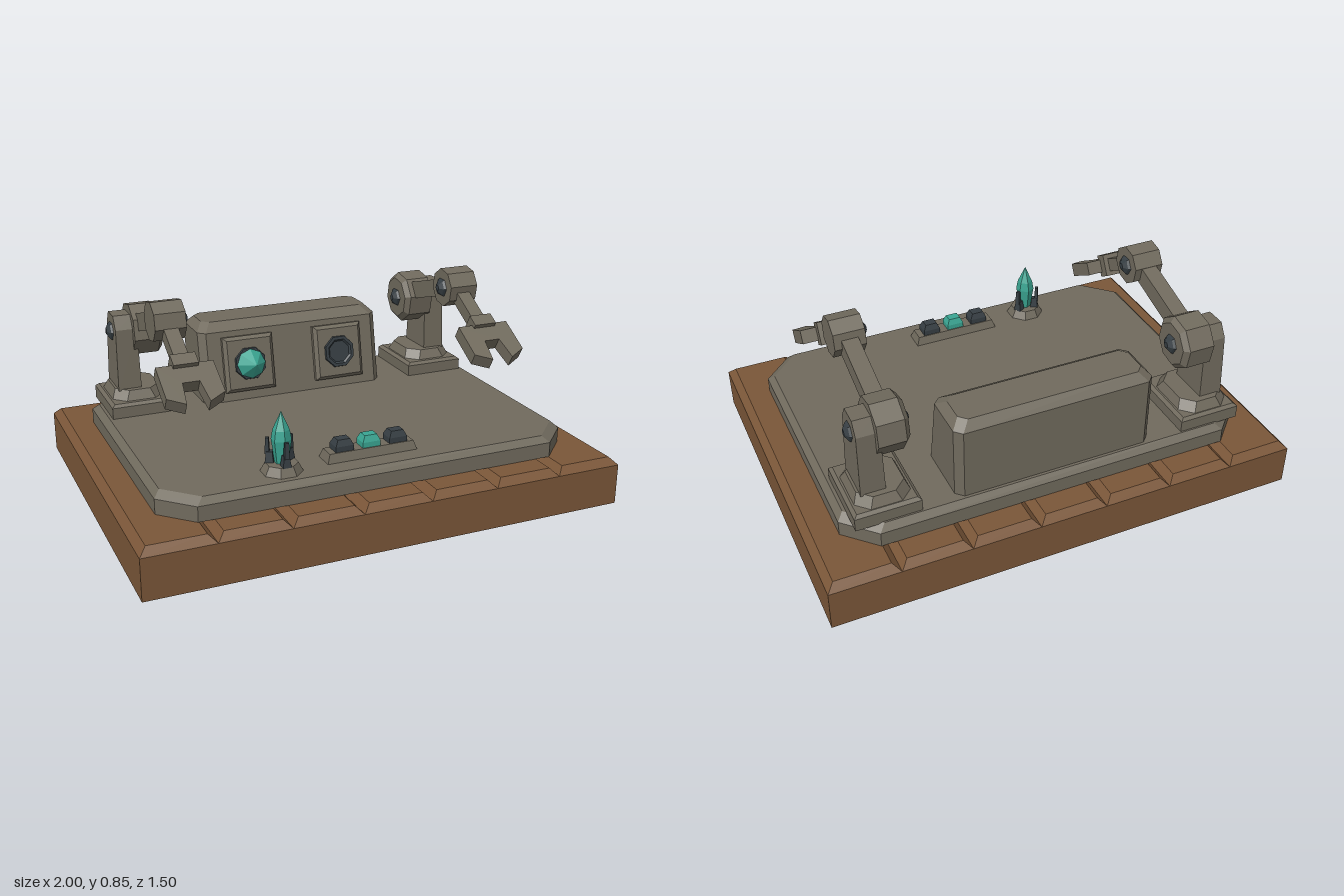
import * as THREE from 'three';

const material = (name, color) => {
  const m = new THREE.MeshStandardMaterial({ color });
  m.name = name;
  return m;
};

const flat = (geo) => {
  const g = geo.index ? geo.toNonIndexed() : geo;
  g.computeVertexNormals();
  return g;
};

// Solid from stacked rectangles [y, halfX, halfZ, centreZ = 0]; cut > 0 clips the corners
function loft(rings, cut = 0) {
  const pos = [], index = [];
  const n = cut > 0 ? 8 : 4;
  for (const [y, x, z, cz = 0] of rings) {
    const c = cut;
    const loop = n === 4
      ? [[x, z], [x, -z], [-x, -z], [-x, z]]
      : [[x, z - c], [x, c - z], [x - c, -z], [c - x, -z], [-x, c - z], [-x, z - c], [c - x, z], [x - c, z]];
    for (const [px, pz] of loop) pos.push(px, y, pz + cz);
  }
  for (let r = 0; r < rings.length - 1; r++) {
    for (let i = 0; i < n; i++) {
      const a = r * n + i, b = r * n + (i + 1) % n;
      index.push(a, b, b + n, a, b + n, a + n);
    }
  }
  const top = (rings.length - 1) * n;
  for (let i = 1; i < n - 1; i++) {
    index.push(0, i + 1, i, top, top + i, top + i + 1);
  }
  const geo = new THREE.BufferGeometry();
  geo.setAttribute('position', new THREE.Float32BufferAttribute(pos, 3));
  geo.setIndex(index);
  return flat(geo);
}

// Faceted turned solid from [radius, height] points
const turned = (points, sides) =>
  flat(new THREE.LatheGeometry(points.map(([r, y]) => new THREE.Vector2(r, y)), sides));

export function createModel() {
  const wood = material('wood', 0x7a5638);
  const stone = material('stone', 0x706a5d);
  const slate = material('dark slate', 0x363e43);
  const teal = material('teal crystal', 0x3aa592);

  const model = new THREE.Group();
  model.name = 'workbench';

  const add = (parent, name, geo, mat, x = 0, y = 0, z = 0) => {
    const mesh = new THREE.Mesh(geo, mat);
    mesh.name = name;
    mesh.position.set(x, y, z);
    parent.add(mesh);
    return mesh;
  };
  const group = (parent, name, x = 0, y = 0, z = 0) => {
    const g = new THREE.Group();
    g.name = name;
    g.position.set(x, y, z);
    parent.add(g);
    return g;
  };

  // Wooden base topped by seven bevelled planks
  add(model, 'woodenBase', new THREE.BoxGeometry(2, 0.17, 1.5), wood, 0, 0.085, 0);
  const plank = loft([[0, 1 / 7, 0.75], [0.03, 1 / 7 - 0.03, 0.72]]);
  for (let i = 0; i < 7; i++) add(model, 'plank', plank, wood, (i - 3) * 2 / 7, 0.17, 0);

  // Deck plate with clipped corners
  add(model, 'deck', loft([[0.2, 0.873, 0.623], [0.262, 0.873, 0.623], [0.287, 0.847, 0.597]], 0.125), stone);

  // Console with a leaning front
  add(model, 'console', loft([
    [0.285, 0.423, 0.1525, -0.4325],
    [0.59, 0.423, 0.1225, -0.4625],
    [0.625, 0.39, 0.08, -0.47],
  ], 0.03), stone);

  // Console panels with sockets; one holds a gem
  for (const side of [-1, 1]) {
    const panel = group(model, 'consolePanel', side * 0.213, 0.445, -0.313);
    panel.rotation.x = -0.19;
    const turn = group(panel, 'panelFace');
    turn.rotation.x = Math.PI / 2;
    add(turn, 'panelPlate', loft([[-0.01, 0.115, 0.122], [0.02, 0.115, 0.122], [0.035, 0.1, 0.107]]), stone);
    add(turn, 'socket', turned([[0.076, 0.03], [0.072, 0.045], [0.058, 0.045], [0.05, 0.037], [0, 0.037]], 8),
      slate).rotation.y = Math.PI / 8;
    if (side < 0) {
      add(turn, 'gem', turned([[0, 0.036], [0.04, 0.036], [0.065, 0.05], [0, 0.12]], 8), teal);
    }
  }

  // Control strip with three buttons
  add(model, 'controlStrip', loft([[0.28, 0.195, 0.047], [0.323, 0.18, 0.034]]), stone, 0, 0, 0.475);
  const button = loft([[0.32, 0.038, 0.03], [0.345, 0.038, 0.03], [0.37, 0.026, 0.02]]);
  for (let i = -1; i <= 1; i++) add(model, 'button', button, i ? slate : teal, i * 0.115, 0, 0.475);

  // Standing crystal held by three prongs
  const stand = group(model, 'crystalStand', -0.375, 0.285, 0.497);
  add(stand, 'standFoot', turned([[0, 0], [0.084, 0], [0.064, 0.037], [0, 0.037]], 8), stone).rotation.y = Math.PI / 8;
  add(stand, 'crystal', turned([[0, 0.03], [0.026, 0.03], [0.04, 0.13], [0.033, 0.17], [0, 0.243]], 6), teal);
  for (let i = 0; i < 3; i++) {
    const prong = group(stand, 'prong');
    prong.rotation.y = i * Math.PI * 2 / 3;
    add(prong, 'prongFoot', loft([[0.035, 0.017, 0.017], [0.08, 0.011, 0.012]]), slate, 0, 0, 0.045);
    add(prong, 'prongBlade', loft([[0.07, 0.01, 0.009], [0.135, 0.008, 0.006]]), slate, 0, 0, 0.054);
  }

  // Shared arm geometry
  const hub = turned([[0, 0], [0.042, 0], [0.036, 0.01], [0.014, 0.024], [0, 0.024]], 6);
  const drum = turned([[0, -0.065], [0.115, -0.065], [0.115, 0.045], [0.092, 0.065], [0, 0.065]], 8);
  const elbow = turned([[0, -0.064], [0.083, -0.064], [0.083, 0.064], [0, 0.064]], 8);
  const claw = new THREE.Shape([
    [-0.115, 0.265], [0.115, 0.265], [0.115, 0.425], [0.046, 0.462],
    [0.034, 0.358], [-0.034, 0.358], [-0.046, 0.462], [-0.115, 0.425],
  ].map(([x, y]) => new THREE.Vector2(x, y)));
  const clawGeo = new THREE.ExtrudeGeometry(claw, { depth: 0.056, bevelEnabled: false });
  clawGeo.translate(0, 0, -0.028).rotateX(Math.PI / 2);

  // Mirrored jointed arms
  for (const s of [-1, 1]) {
    const arm = group(model, s > 0 ? 'leftArm' : 'rightArm');
    const onAxis = (name, geo, mat, x, y, z, dir, spin = 0) => {
      const mesh = add(arm, name, geo, mat, s * x, y, z);
      mesh.rotation.set(0, spin, -s * dir * Math.PI / 2, 'ZYX');
    };
    add(arm, 'pedestal', loft([[0.28, 0.134, 0.16], [0.335, 0.134, 0.16], [0.347, 0.12, 0.147]]), stone, s * 0.7, 0, -0.43);
    add(arm, 'pedestalTier', loft([[0.34, 0.115, 0.14], [0.387, 0.095, 0.115]], 0.05), stone, s * 0.7, 0, -0.437);
    add(arm, 'column', loft([[0.38, 0.05, 0.09], [0.645, 0.046, 0.077], [0.7, 0.046, 0.042]]), stone, s * 0.735, 0, -0.437);
    onAxis('shoulder', drum, stone, 0.643, 0.625, -0.437, -1, 0.2);
    onAxis('shoulderHub', hub, slate, 0.578, 0.625, -0.437, -1);
    onAxis('columnHub', hub, slate, 0.78, 0.625, -0.437, 1);
    onAxis('elbow', elbow, stone, 0.655, 0.77, -0.03, -1, 0.2);
    onAxis('elbowHub', hub, slate, 0.591, 0.77, -0.03, -1);

    // Upper arm between shoulder and elbow
    add(arm, 'upperArm', new THREE.BoxGeometry(0.068, 0.076, 0.42), stone, s * 0.655, 0.71, -0.233)
      .rotation.x = -Math.atan2(0.12, 0.407);

    // Forearm, wrist and claw
    const forearm = group(arm, 'forearm', s * 0.655, 0.77, -0.03);
    forearm.rotation.x = 0.522;
    add(forearm, 'forearmLink', new THREE.BoxGeometry(0.06, 0.055, 0.3), stone, 0, 0, 0.15);
    add(forearm, 'wrist', new THREE.BoxGeometry(0.1, 0.094, 0.056), stone, 0, 0, 0.255);
    add(forearm, 'claw', clawGeo, stone);
  }

  return model;
}
